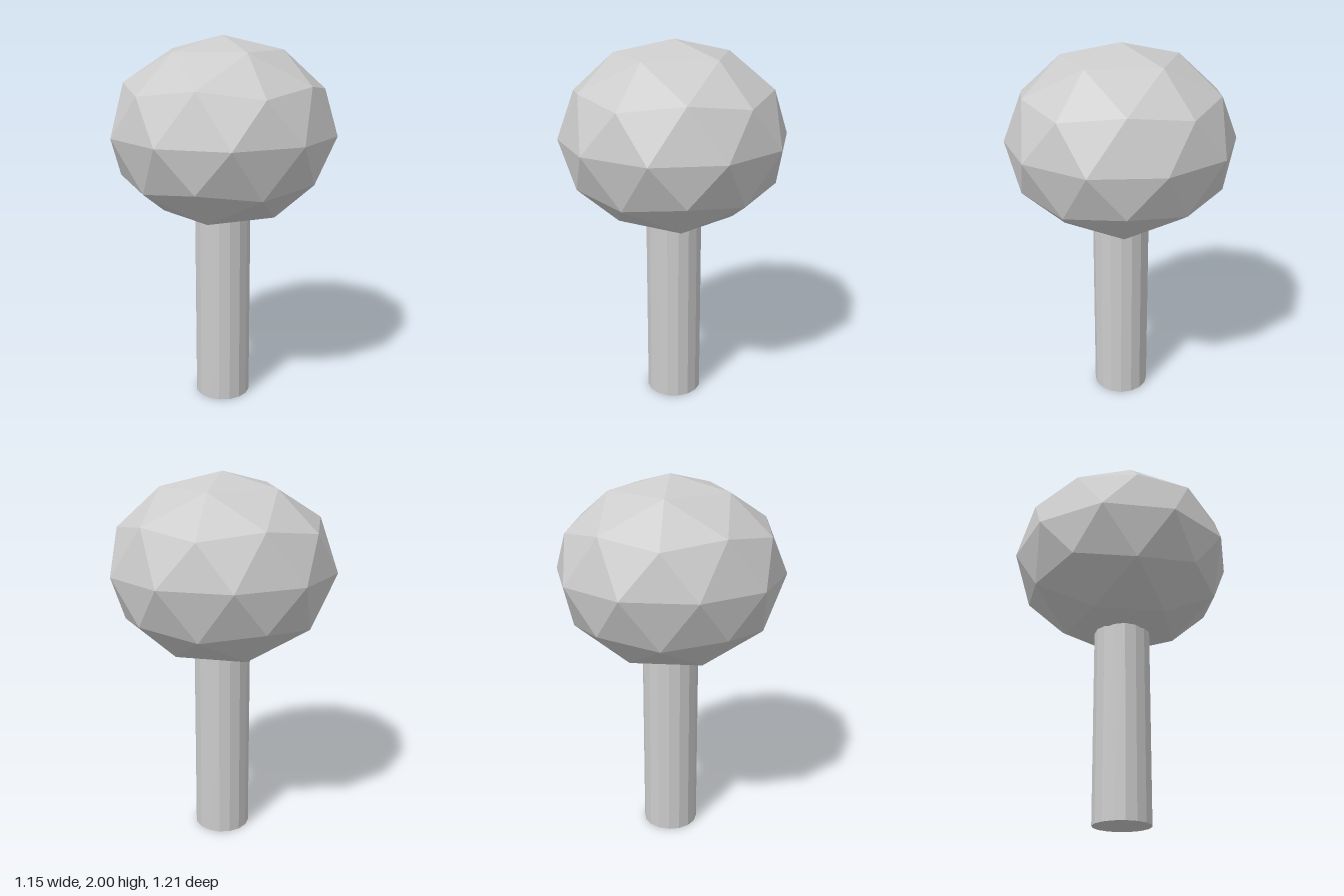
import * as THREE from 'three';

export function createModel() {
  const model = new THREE.Group();
  model.name = 'tree';
  const material = new THREE.MeshStandardMaterial({ color: 0xcccccc, flatShading: true });

  // Faceted crown: once-subdivided icosahedron, turned so a corner points up, then flattened
  const crownGeometry = new THREE.IcosahedronGeometry(1, 1);
  const goldenRatio = (1 + Math.sqrt(5)) / 2;
  crownGeometry.rotateZ(-Math.atan(1 / goldenRatio));
  crownGeometry.scale(0.607, 0.5, 0.607);
  const crown = new THREE.Mesh(crownGeometry, material);
  crown.name = 'crown';
  crown.position.y = 1.5;

  // Straight trunk, reaching a little way into the crown
  const trunkHeight = 1.1;
  const sides = 16;
  const trunkGeometry = new THREE.CylinderGeometry(0.152, 0.152, trunkHeight, sides);
  trunkGeometry.rotateY(Math.PI / sides);
  const trunk = new THREE.Mesh(trunkGeometry, material);
  trunk.name = 'trunk';
  trunk.position.y = trunkHeight / 2;

  model.add(crown, trunk);
  return model;
}
